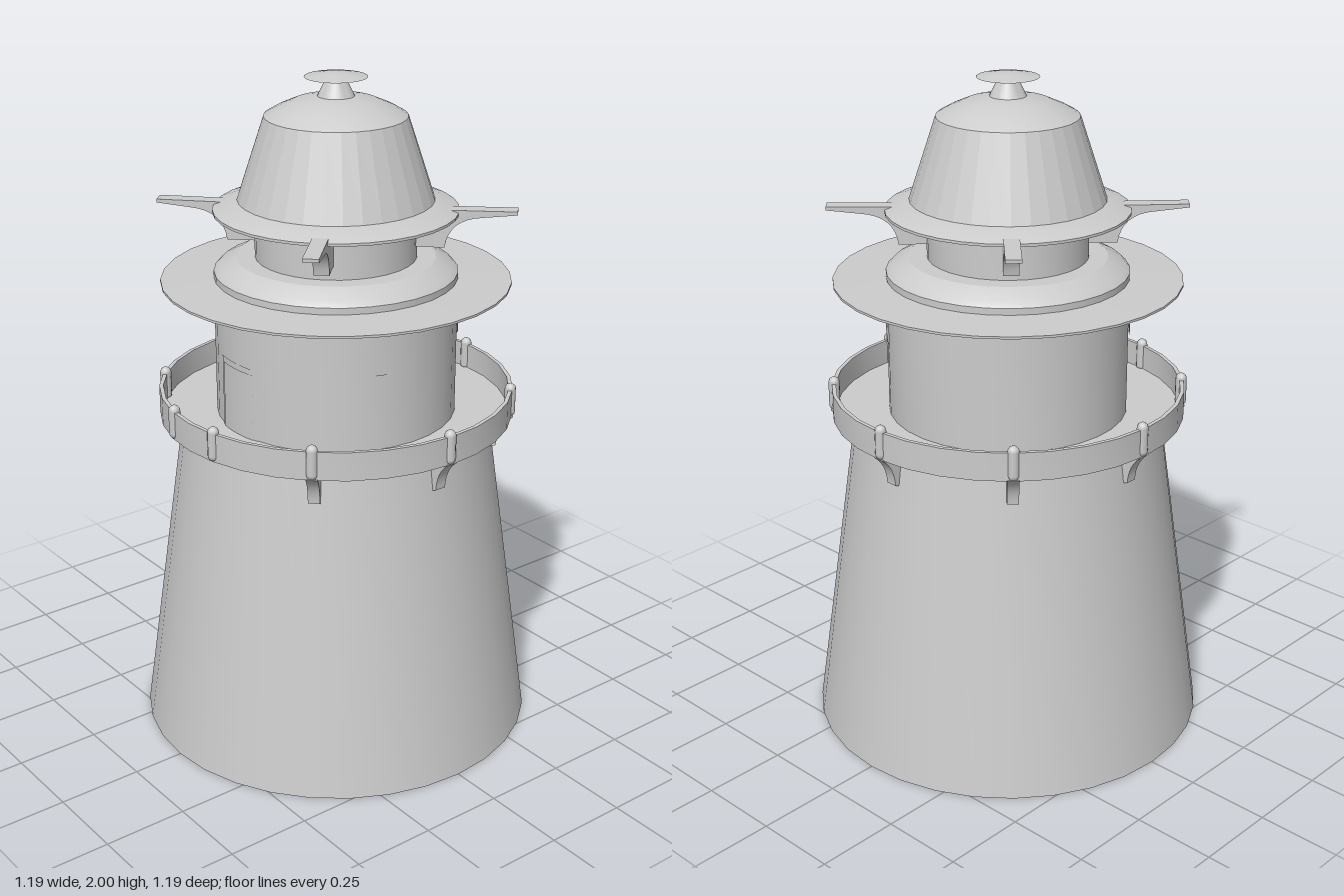
import * as THREE from 'three';
import { toCreasedNormals } from 'three/addons/utils/BufferGeometryUtils.js';

const SIDES = 32;
const smooth = new THREE.MeshStandardMaterial({ color: 0xcccccc });
const flat = new THREE.MeshStandardMaterial({ color: 0xcccccc, flatShading: true });
const rad = THREE.MathUtils.degToRad;

export function createModel() {
  const model = new THREE.Group();

  const add = (name, geometry, material = smooth, parent = model) => {
    const mesh = new THREE.Mesh(geometry, material);
    mesh.name = name;
    parent.add(mesh);
    return mesh;
  };

  // Turned body from [radius, height] pairs, listed bottom to top
  const turned = (name, profile, material = smooth) => {
    const points = profile.map(([r, y]) => new THREE.Vector2(r, y));
    return add(name, toCreasedNormals(new THREE.LatheGeometry(points, SIDES), 0.4), material);
  };

  // Flat bracket drawn in (radius, height), then swung to an angle measured from the front
  const bracket = (name, shape, width, angle) => {
    const geometry = new THREE.ExtrudeGeometry(shape, { depth: width, bevelEnabled: false, curveSegments: 8 });
    geometry.translate(0, 0, -width / 2);
    const mesh = add(name, toCreasedNormals(geometry, 0.5));
    mesh.rotation.y = rad(angle - 90);
  };

  // Curved panel lying on the wall of the watch room
  const panel = (name, radius, y, width, height, angle, parent) => {
    const arc = width / radius;
    const geometry = new THREE.CylinderGeometry(radius, radius, height, 6, 1, true, rad(angle) - arc / 2, arc);
    geometry.translate(0, y, 0);
    add(name, geometry, smooth, parent).material = new THREE.MeshStandardMaterial({ color: 0xcccccc, side: THREE.DoubleSide });
  };

  // Main masonry
  turned('tower', [[0, 0], [0.595, 0], [0.457, 0.985], [0, 0.985]]);
  turned('watchRoom', [[0, 0.99], [0.355, 0.99], [0.355, 1.425], [0.34, 1.44], [0.29, 1.465], [0, 1.465]]);
  turned('lanternRoom', [[0, 1.46], [0.235, 1.46], [0.235, 1.61], [0, 1.61]]);

  // Gallery floor with its solid parapet
  turned('gallery', [[0, 0.985], [0.525, 0.985], [0.525, 1.07], [0.513, 1.07], [0.513, 0.995], [0, 0.995]]);

  // Wide thin eave around the watch room
  turned('eave', [[0.34, 1.388], [0.51, 1.394], [0.51, 1.401], [0.34, 1.406]]);

  // Roof flange, roof, crown and finial
  turned('roofFlange', [[0, 1.6], [0.355, 1.6], [0.355, 1.608], [0.285, 1.635], [0, 1.635]]);
  turned('roof', [[0.285, 1.632], [0.205, 1.875]], flat);
  turned('crown', [[0.205, 1.875], [0.17, 1.895], [0.12, 1.917], [0.055, 1.93], [0, 1.932]]);
  turned('finialNeck', [[0.055, 1.925], [0.048, 1.94], [0.025, 1.987]]);
  turned('finialCap', [[0, 1.984], [0.09, 1.984], [0.04, 1.994], [0, 2]]);

  // Parapet posts; the pair flanking the doorway has no bracket below
  const galleryShape = new THREE.Shape();
  galleryShape.moveTo(0.44, 0.988);
  galleryShape.lineTo(0.455, 0.885);
  galleryShape.lineTo(0.482, 0.895);
  galleryShape.quadraticCurveTo(0.485, 0.955, 0.53, 0.988);
  const bracketed = [0, 45, 90, 135, 180, 225, 315];
  for (const angle of [...bracketed, 259, 281]) {
    const post = new THREE.CapsuleGeometry(0.017, 0.07, 4, 10);
    post.translate(0, 1.037, 0.518);
    add('parapetPost', post).rotation.y = rad(angle);
  }
  for (const angle of bracketed) bracket('galleryBracket', galleryShape, 0.034, angle);

  // Brackets below the eave
  const eaveShape = new THREE.Shape();
  eaveShape.moveTo(0.34, 1.392);
  eaveShape.lineTo(0.34, 1.34);
  eaveShape.lineTo(0.362, 1.34);
  eaveShape.quadraticCurveTo(0.41, 1.38, 0.5, 1.392);
  for (const angle of [0, 90, 180, 270]) bracket('eaveBracket', eaveShape, 0.038, angle);

  // Long arms reaching out below the roof flange
  const armShape = new THREE.Shape();
  armShape.moveTo(0.22, 1.615);
  armShape.lineTo(0.22, 1.505);
  armShape.lineTo(0.315, 1.505);
  armShape.quadraticCurveTo(0.325, 1.59, 0.42, 1.597);
  armShape.lineTo(0.52, 1.608);
  armShape.lineTo(0.52, 1.618);
  for (const angle of [45, 135, 225, 315]) bracket('roofArm', armShape, 0.045, angle);

  // Small two-pane windows
  for (const angle of [-16, 55, 225]) {
    const group = new THREE.Group();
    group.name = 'window';
    model.add(group);
    panel('windowFrame', 0.357, 1.25, 0.052, 0.06, angle, group);
    for (const side of [-1, 1]) panel('windowPane', 0.359, 1.25, 0.018, 0.048, angle + side * 1.9, group);
  }

  // Door onto the gallery
  panel('doorFrame', 0.357, 1.1, 0.17, 0.22, 270, model);
  panel('door', 0.36, 1.095, 0.14, 0.2, 270, model);

  return model;
}
